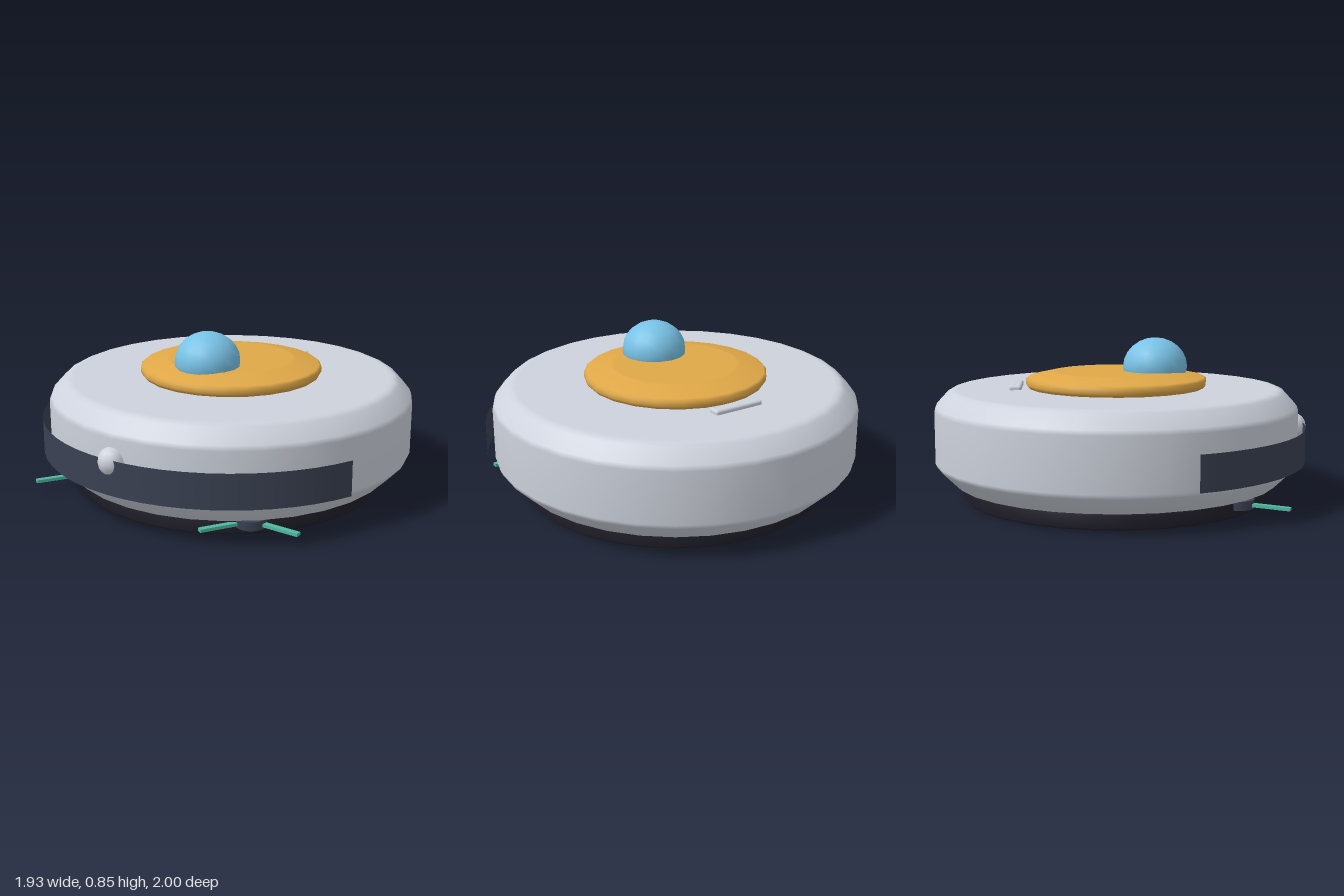
import * as THREE from 'three';
import { RoundedBoxGeometry } from 'three/addons/geometries/RoundedBoxGeometry.js';

const mat = (name, color, side = THREE.FrontSide) => {
  const m = new THREE.MeshStandardMaterial({ color, side });
  m.name = name;
  return m;
};

export function createModel() {
  const shell = mat('light grey', 0xcdd2dc);
  const amber = mat('amber', 0xe0a848);
  const blue = mat('sky blue', 0x78c2e6);
  const slate = mat('dark slate', 0x3a4152, THREE.DoubleSide);
  const black = mat('near black', 0x1f1e29);
  const teal = mat('teal', 0x4fb8a0);

  const model = new THREE.Group();
  model.name = 'robotVacuum';
  const cz = -0.034; // axis of the round body

  const add = (parent, name, geometry, material, x = 0, y = 0, z = 0) => {
    const mesh = new THREE.Mesh(geometry, material);
    mesh.name = name;
    mesh.position.set(x, y, z);
    parent.add(mesh);
    return mesh;
  };
  const lathe = (points, segments) =>
    new THREE.LatheGeometry(points.map(([r, y]) => new THREE.Vector2(r, y)), segments);

  // Floor plate with softened rims
  add(model, 'basePlate', lathe([
    [0, 0], [0.79, 0], [0.808, 0.004], [0.82, 0.016],
    [0.82, 0.074], [0.808, 0.088], [0.79, 0.092], [0, 0.092],
  ], 32), black, 0, 0, cz + 0.004);

  // Main shell with chamfered top and bottom
  add(model, 'body', lathe([
    [0, 0.09], [0.84, 0.09], [0.865, 0.096], [0.955, 0.185], [0.967, 0.21],
    [0.967, 0.48], [0.957, 0.505], [0.895, 0.572], [0.87, 0.584], [0.845, 0.586], [0, 0.59],
  ], 32), shell, 0, 0, cz);

  // Raised top disc
  add(model, 'topDisc', lathe([
    [0.46, 0.58], [0.476, 0.596], [0.483, 0.608], [0.483, 0.632],
    [0.47, 0.644], [0.345, 0.671], [0.325, 0.673], [0, 0.673],
  ], 24), amber, 0, 0, cz);

  // Sensor dome
  const dome = add(model, 'sensorDome', new THREE.SphereGeometry(0.172, 16, 12), blue, 0, 0.695, 0.175);
  dome.scale.y = 0.9;

  // Thin bumper band wrapped round the front
  add(model, 'bumper',
    new THREE.CylinderGeometry(1.008, 1.008, 0.18, 24, 1, true, -0.39 * Math.PI, 0.78 * Math.PI),
    slate, 0, 0.3, cz);

  // Front button and rear handle
  add(model, 'frontButton', new THREE.SphereGeometry(0.073, 12, 8), shell, 0, 0.366, 0.925);
  add(model, 'rearHandle', new RoundedBoxGeometry(0.28, 0.035, 0.066, 2, 0.013), shell, 0, 0.593, -0.568);

  // Side brushes: a hub with three bristle arms each
  for (const side of [1, -1]) {
    const brush = new THREE.Group();
    brush.name = side > 0 ? 'leftBrush' : 'rightBrush';
    brush.position.set(side * 0.54, 0.065, 0.55);
    add(brush, 'brushHub', new THREE.CylinderGeometry(0.08, 0.08, 0.045, 14), slate, 0, 0.003, 0);
    for (let i = 0; i < 3; i++) {
      const arm = add(brush, 'brushArm',
        new THREE.BoxGeometry(0.27, 0.016, 0.03).translate(0.135, 0, 0), teal);
      arm.rotation.y = i * Math.PI * 2 / 3;
    }
    model.add(brush);
  }
  return model;
}
